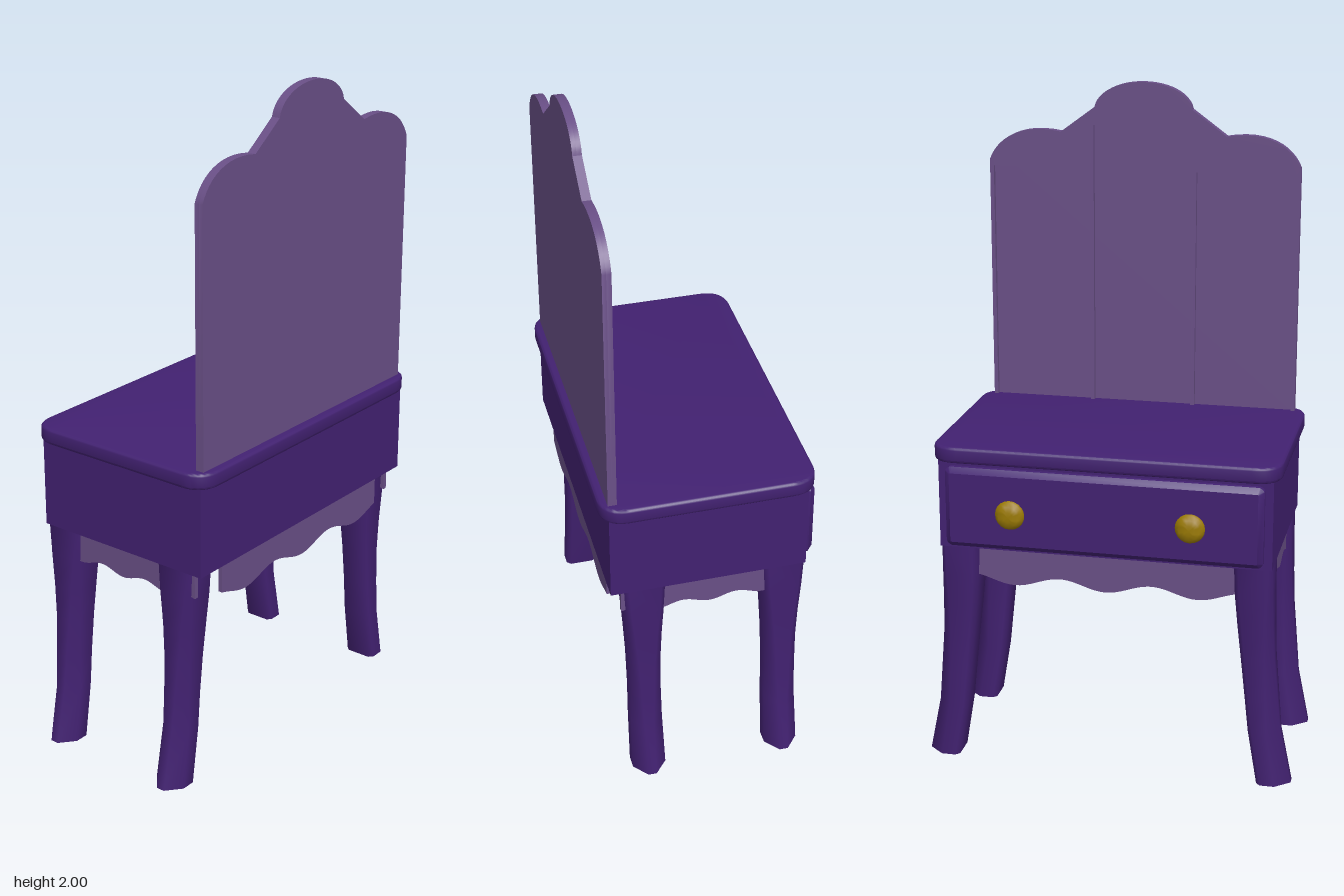
import * as THREE from 'three';
import { toCreasedNormals } from 'three/addons/utils/BufferGeometryUtils.js';

export function createModel() {
  const purple = new THREE.MeshStandardMaterial({ color: 0x422171 });
  purple.name = 'deep purple';
  const mauve = new THREE.MeshStandardMaterial({ color: 0x694f86 });
  mauve.name = 'mauve';
  const gold = new THREE.MeshStandardMaterial({ color: 0x9a7a04 });
  gold.name = 'gold';

  const model = new THREE.Group();
  model.name = 'vanityTable';
  const add = (name, geo, mat, x = 0, y = 0, z = 0) => {
    const mesh = new THREE.Mesh(geo, mat);
    mesh.name = name;
    mesh.position.set(x, y, z);
    model.add(mesh);
  };
  const plate = (shape, depth, bevel = 0, bevelSegments = 1) => toCreasedNormals(new THREE.ExtrudeGeometry(shape, {
    depth, bevelEnabled: bevel > 0, bevelSize: bevel, bevelThickness: bevel, bevelSegments, curveSegments: 12,
  }), 0.6);
  const rect = (w, h, r) => {
    const s = new THREE.Shape();
    s.moveTo(-w + r, -h);
    s.lineTo(w - r, -h).quadraticCurveTo(w, -h, w, -h + r);
    s.lineTo(w, h - r).quadraticCurveTo(w, h, w - r, h);
    s.lineTo(-w + r, h).quadraticCurveTo(-w, h, -w, h - r);
    s.lineTo(-w, -h + r).quadraticCurveTo(-w, -h, -w + r, -h);
    return s;
  };

  // Table top with rounded corners and softened edges
  const top = plate(rect(0.506, 0.307, 0.07), 0.03, 0.009, 3);
  top.rotateX(-Math.PI / 2);
  add('tableTop', top, purple, 0, 0.966, 0.024);

  // Case and chamfered drawer front
  add('case', new THREE.BoxGeometry(0.99, 0.27, 0.582), purple, 0, 0.825, 0.026);
  add('drawerFront', plate(rect(0.455, 0.106, 0.004), 0.018, 0.016), purple, 0, 0.822, -0.279);

  // Drawer knobs
  const knobProfile = [[0, 0], [0.019, 0], [0.019, 0.028], [0.044, 0.028], [0.041, 0.036],
    [0.03, 0.045], [0.015, 0.049], [0, 0.05]].map(([r, y]) => new THREE.Vector2(r, y));
  const knob = toCreasedNormals(new THREE.LatheGeometry(knobProfile, 20), 0.8);
  knob.rotateX(-Math.PI / 2);
  for (const x of [-0.265, 0.265]) add('drawerKnob', knob, gold, x, 0.822, -0.294);

  // Curved legs: square at the top, narrowing outwards to a faceted, splayed foot
  // rows: height, centre offset in x, half width in x, half width in z, squareness
  const rows = [[0.7, 0.438, 0.056, 0.061, 1], [0.6, 0.441, 0.055, 0.057, 0.9], [0.5, 0.447, 0.052, 0.051, 0.7],
    [0.4, 0.455, 0.049, 0.047, 0.5], [0.28, 0.467, 0.048, 0.046, 0.3], [0.17, 0.478, 0.047, 0.048, 0.1],
    [0, 0.51, 0.05, 0.051, 0]];
  const legGeometry = (side) => {
    const pos = [], idx = [], n = 8;
    const face = (a, b, c) => (side > 0 ? idx.push(a, b, c) : idx.push(a, c, b));
    for (const [y, cx, hx, hz, q] of rows) {
      const half = [[1, 0.25 + 0.55 * q], [0.1 + 0.7 * q, 1], [-0.75, 1], [-1, 0.75]];
      const section = [...half, ...half.map(([u, v]) => [u, -v]).reverse()];
      for (const [u, v] of section) pos.push(side * (cx + u * hx), y, v * hz);
    }
    for (let i = 0; i < rows.length - 1; i++)
      for (let j = 0; j < n; j++) {
        const a = i * n + j, b = i * n + (j + 1) % n;
        face(a, b, a + n);
        face(b, b + n, a + n);
      }
    const last = (rows.length - 1) * n;
    for (let j = 1; j < n - 1; j++) {
      face(0, j + 1, j);
      face(last, last + j, last + j + 1);
    }
    const g = new THREE.BufferGeometry();
    g.setAttribute('position', new THREE.Float32BufferAttribute(pos, 3));
    g.setIndex(idx);
    return toCreasedNormals(g, 1.1);
  };
  for (const side of [-1, 1])
    for (const z of [-0.203, 0.215]) add('leg', legGeometry(side), purple, 0, 0, z);

  // Scalloped aprons below the case
  const apron = (half, low, swing, period) => {
    const s = new THREE.Shape();
    s.moveTo(half, 0.7);
    s.lineTo(-half, 0.7);
    for (let i = 0; i <= 48; i++) {
      const x = -half + (2 * half * i) / 48;
      s.lineTo(x, low + swing * (1 - Math.cos((2 * Math.PI * x) / period)));
    }
    return plate(s, 0.014);
  };
  add('frontApron', apron(0.385, 0.572, 0.015, 0.275), mauve, 0, 0, 0.292);
  add('drawerApron', apron(0.39, 0.572, 0.015, 0.275), mauve, 0, 0, -0.24);
  for (const x of [-0.475, 0.475]) {
    const g = apron(0.265, 0.597, 0.009, 0.16);
    g.translate(0, 0, -0.007);
    g.rotateY(Math.PI / 2);
    add('sideApron', g, mauve, x, 0, 0.02);
  }

  // Mirror back with three arched crests
  const outline = () => {
    const s = new THREE.Shape();
    s.moveTo(-0.48, 0.99);
    s.lineTo(0.48, 0.99);
    s.lineTo(0.48, 1.755);
    s.bezierCurveTo(0.455, 1.82, 0.38, 1.868, 0.255, 1.845);
    s.lineTo(0.15, 1.922);
    s.bezierCurveTo(0.14, 1.97, 0.075, 2.0, 0, 2.0);
    s.bezierCurveTo(-0.075, 2.0, -0.14, 1.97, -0.15, 1.922);
    s.lineTo(-0.255, 1.845);
    s.bezierCurveTo(-0.38, 1.868, -0.455, 1.82, -0.48, 1.755);
    s.lineTo(-0.48, 0.99);
    return s;
  };
  add('mirrorBack', plate(outline(), 0.012), mauve, 0, 0, 0.304);

  // Raised frame around three recessed mirror panels
  const frame = outline();
  for (const [x0, x1, y1] of [[-0.468, -0.165, 1.735], [-0.153, 0.153, 1.868], [0.165, 0.468, 1.735]]) {
    const hole = new THREE.Path();
    hole.moveTo(x0, 1.002);
    hole.lineTo(x0, y1);
    hole.lineTo(x1, y1);
    hole.lineTo(x1, 1.002);
    hole.lineTo(x0, 1.002);
    frame.holes.push(hole);
  }
  add('mirrorFrame', plate(frame, 0.014), mauve, 0, 0, 0.29);

  return model;
}
